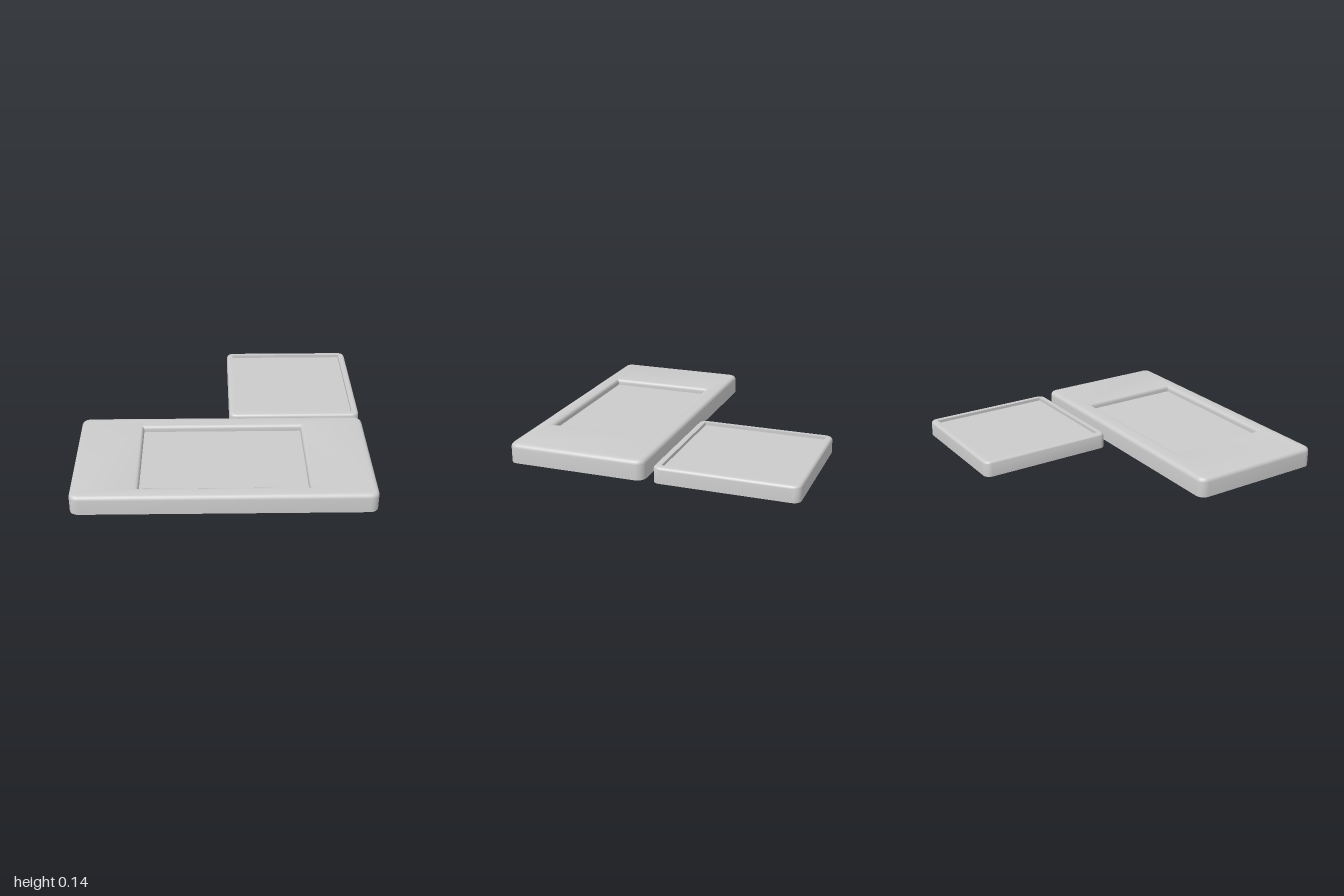
import * as THREE from 'three';
import { mergeGeometries, toCreasedNormals } from 'three/addons/utils/BufferGeometryUtils.js';

const ARC = 6;

// Rectangle outline (x, z) running counter-clockwise from above; r = 0 gives square corners.
function outline([x0, x1, z0, z1], r, inset) {
  const pts = [];
  const corners = [[x1 - r, z0 + r], [x0 + r, z0 + r], [x0 + r, z1 - r], [x1 - r, z1 - r]];
  const signs = [[1, -1], [-1, -1], [-1, 1], [1, 1]];
  corners.forEach(([cx, cz], k) => {
    if (r === 0) {
      pts.push([cx - signs[k][0] * inset, cz - signs[k][1] * inset]);
      return;
    }
    for (let i = 0; i <= ARC; i++) {
      const a = (k + i / ARC) * Math.PI / 2;
      pts.push([cx + Math.cos(a) * (r - inset), cz - Math.sin(a) * (r - inset)]);
    }
  });
  return pts;
}

// Skin through stacked outlines; profile is a list of [inset, y].
function loft(rect, r, profile) {
  const rings = profile.map(([inset, y]) => outline(rect, r, inset).map(([x, z]) => [x, y, z]));
  const pos = [];
  for (let j = 0; j + 1 < rings.length; j++) {
    const n = rings[j].length;
    for (let i = 0; i < n; i++) {
      const a = rings[j][i], b = rings[j][(i + 1) % n];
      const c = rings[j + 1][(i + 1) % n], d = rings[j + 1][i];
      pos.push(...a, ...b, ...c, ...a, ...c, ...d);
    }
  }
  const geo = new THREE.BufferGeometry();
  geo.setAttribute('position', new THREE.Float32BufferAttribute(pos, 3));
  return geo;
}

// Flat upward face at height y, with an optional hole.
function flat(pts, y, hole) {
  const toVec = ([x, z]) => new THREE.Vector2(x, -z);
  const shape = new THREE.Shape(pts.map(toVec));
  if (hole) shape.holes.push(new THREE.Path(hole.map(toVec)));
  const geo = new THREE.ShapeGeometry(shape).rotateX(-Math.PI / 2).translate(0, y, 0).toNonIndexed();
  geo.deleteAttribute('uv');
  geo.deleteAttribute('normal');
  return geo;
}

// Thin open-bottomed shell with rounded edges and a sunken rectangle in its top.
function shell(name, { rect, corner, height, fillet, recess, floor, lip }) {
  const outer = [[0, 0]];
  const inner = [];
  for (let i = 0; i <= 5; i++) {
    const a = i / 5 * Math.PI / 2;
    outer.push([fillet * (1 - Math.cos(a)), height - fillet * (1 - Math.sin(a))]);
    if (lip) inner.push([-lip * (1 - Math.sin(a)), height - lip * (1 - Math.cos(a))]);
  }
  if (!lip) inner.push([0, height]);
  inner.push([0, floor]);

  const merged = mergeGeometries([
    loft(rect, corner, outer),
    flat(outline(rect, corner, fillet), height, outline(recess, 0, -lip)),
    loft(recess, 0, inner),
    flat(outline(recess, 0, 0), floor),
  ]);
  const material = new THREE.MeshStandardMaterial({ color: 0xcccccc, side: THREE.DoubleSide });
  const mesh = new THREE.Mesh(toCreasedNormals(merged, 0.6), material);
  mesh.name = name;
  return mesh;
}

export function createModel() {
  const group = new THREE.Group();
  group.name = 'casePanels';

  // Wide panel with a soft-lipped window recess
  group.add(shell('widePanel', {
    rect: [-1, 1, 0.03, 1], corner: 0.06, height: 0.135, fillet: 0.03,
    recess: [-0.555, 0.555, 0.155, 0.89], floor: 0.09, lip: 0.025,
  }));

  // Smaller square panel with a shallow crisp recess
  group.add(shell('squarePanel', {
    rect: [0.055, 1, -1, -0.03], corner: 0.05, height: 0.11, fillet: 0.02,
    recess: [0.1, 0.95, -0.955, -0.08], floor: 0.088, lip: 0,
  }));

  return group;
}
